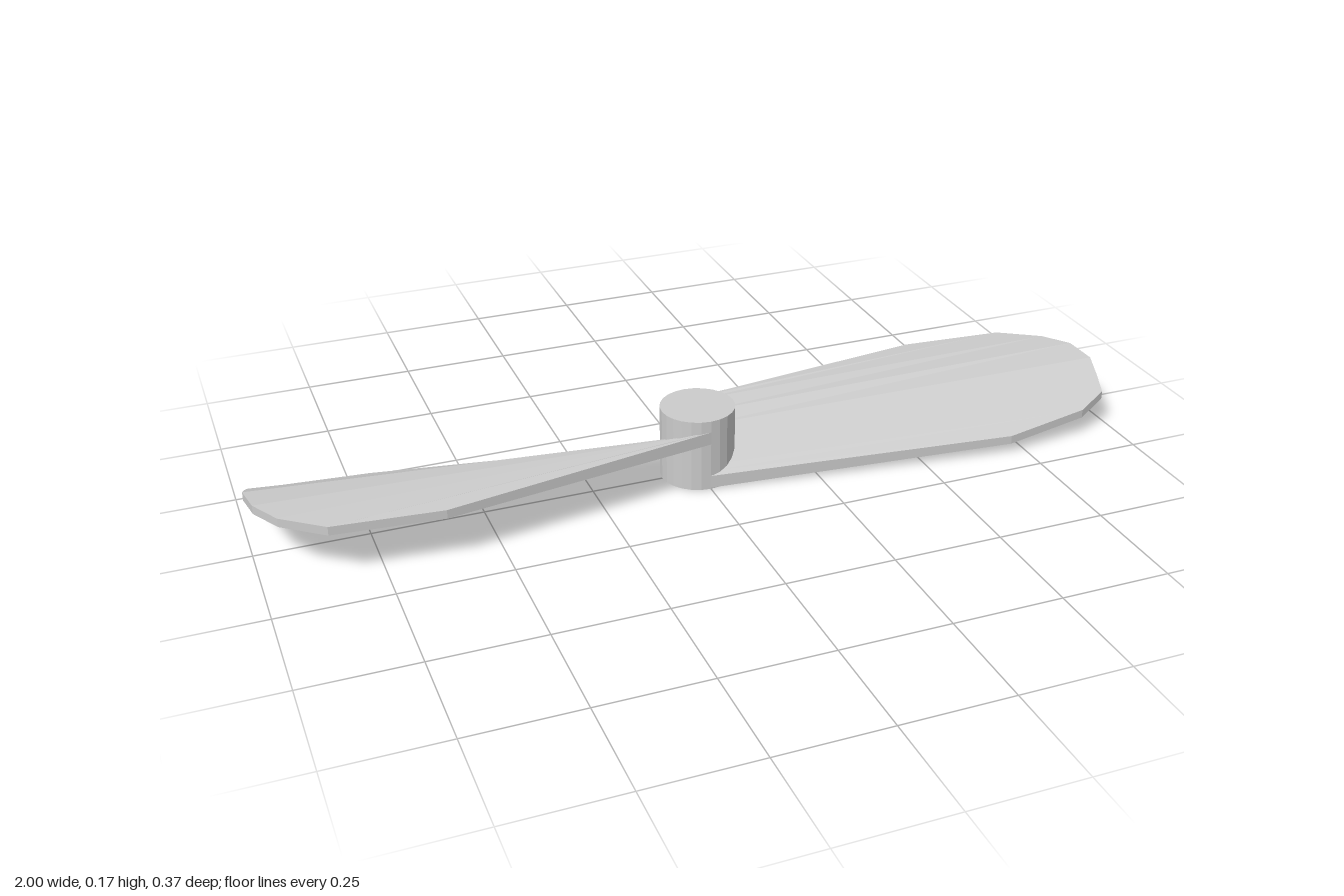
import * as THREE from 'three';

const HUB_RADIUS = 0.085;
const HUB_HEIGHT = 0.17;

// Blade stations from the high edge round the tip to the low edge:
// [root z, root y, tip x, tip y, tip z], heights on the underside
const STATIONS = [
  [-0.085, 0.113, 0.62, 0.113, -0.185],
  [-0.078, 0.110, 0.86, 0.114, -0.165],
  [-0.050, 0.093, 0.95, 0.117, -0.100],
  [-0.020, 0.075, 0.99, 0.120, -0.035],
  [0.015, 0.051, 1.00, 0.113, 0.040],
  [0.045, 0.031, 0.99, 0.090, 0.090],
  [0.062, 0.019, 0.98, 0.068, 0.132],
  [0.075, 0.010, 0.91, 0.046, 0.162],
  [0.085, 0.003, 0.71, 0.025, 0.182],
];
const ROOT_THICKNESS = 0.03;
const TIP_THICKNESS = 0.02;

// Closed solid ruled from the pitched root line to the rounded tip outline
function bladeGeometry() {
  const positions = [];
  const quad = (a, b, c, d) => {
    for (const p of [a, b, c, a, c, d]) positions.push(...p);
  };
  const sections = STATIONS.map(([rz, ry, tx, ty, tz]) => ({
    rootLow: [0, ry, rz],
    rootHigh: [0, ry + ROOT_THICKNESS, rz],
    tipLow: [tx, ty, tz],
    tipHigh: [tx, ty + TIP_THICKNESS, tz],
  }));
  for (let i = 0; i < sections.length - 1; i++) {
    const a = sections[i], b = sections[i + 1];
    quad(a.rootHigh, b.rootHigh, b.tipHigh, a.tipHigh); // upper face
    quad(a.rootLow, a.tipLow, b.tipLow, b.rootLow);     // underside
    quad(a.tipLow, a.tipHigh, b.tipHigh, b.tipLow);     // tip rim
    quad(a.rootLow, b.rootLow, b.rootHigh, a.rootHigh); // root, inside the hub
  }
  // straight long edges
  const s = sections[0], e = sections[sections.length - 1];
  quad(s.rootLow, s.rootHigh, s.tipHigh, s.tipLow);
  quad(e.rootLow, e.tipLow, e.tipHigh, e.rootHigh);

  const geometry = new THREE.BufferGeometry();
  geometry.setAttribute('position', new THREE.Float32BufferAttribute(positions, 3));
  geometry.computeVertexNormals();
  return geometry;
}

export function createModel() {
  const group = new THREE.Group();
  group.name = 'propeller';
  const material = new THREE.MeshStandardMaterial({ color: 0xcccccc, flatShading: true });

  // Hub
  const hub = new THREE.Mesh(
    new THREE.CylinderGeometry(HUB_RADIUS, HUB_RADIUS, HUB_HEIGHT, 24), material);
  hub.name = 'hub';
  hub.position.y = HUB_HEIGHT / 2;
  group.add(hub);

  // Two identical blades, half a turn apart
  const geometry = bladeGeometry();
  ['leftBlade', 'rightBlade'].forEach((name, i) => {
    const blade = new THREE.Mesh(geometry, material);
    blade.name = name;
    blade.rotation.y = i * Math.PI;
    group.add(blade);
  });
  return group;
}
